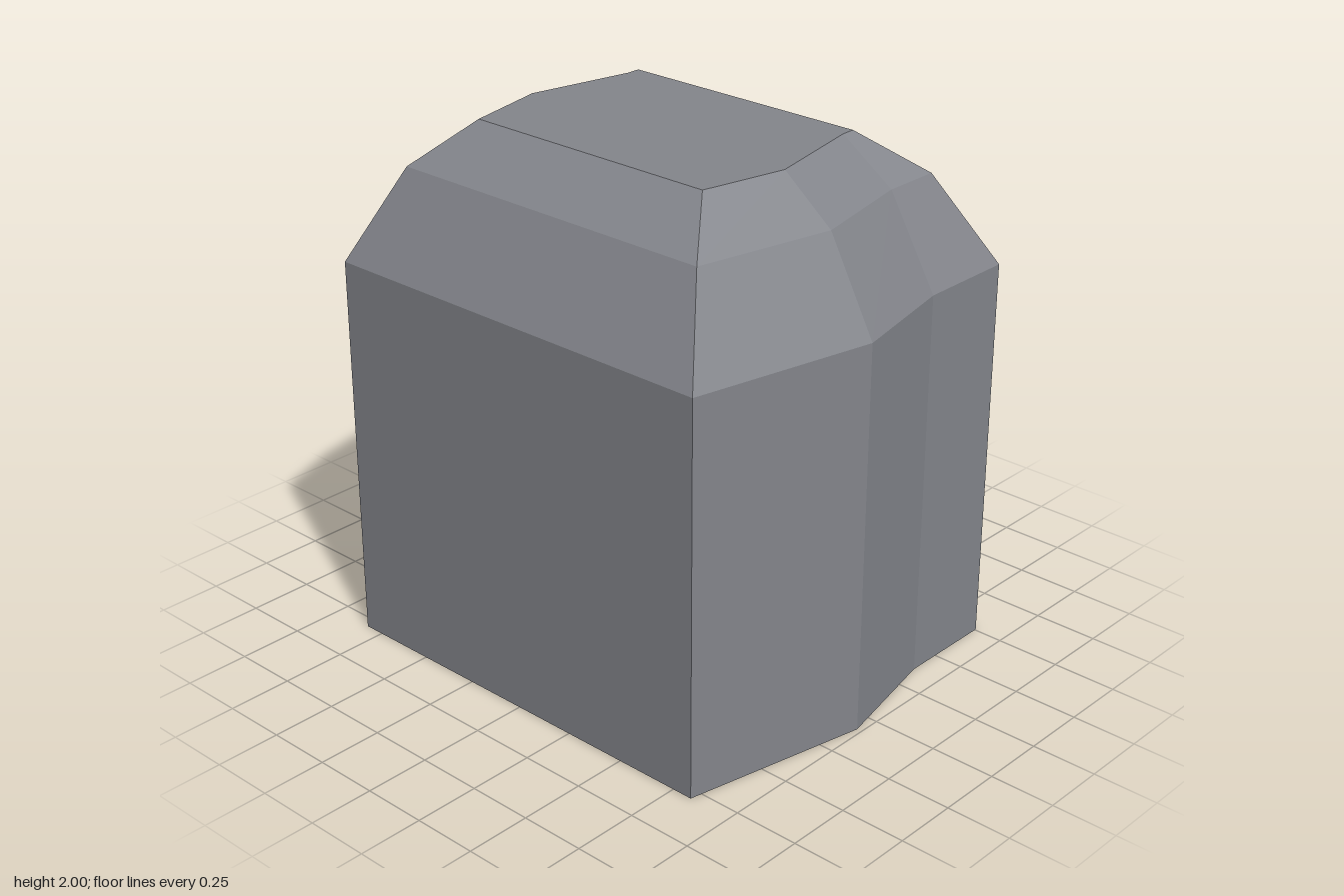
import * as THREE from 'three';

const grey = new THREE.MeshStandardMaterial({ color: 0x84868c, flatShading: true });
const orange = new THREE.MeshStandardMaterial({ color: 0xf2aa4c, flatShading: true });

// Half outlines [half width, z] from front to back, one per level
const wall = [[0.83, 0.795], [0.98, 0.085], [0.885, -0.37], [0.885, -0.755]];
const levels = [
  { y: 0, half: wall },
  { y: 1.495, half: wall },
  { y: 1.84, half: [[0.682, 0.614], [0.793, 0.085], [0.703, -0.35], [0.703, -0.575]] },
  { y: 2, half: [[0.523, 0.412], [0.592, 0.085], [0.507, -0.325], [0.507, -0.378]] },
];

function shellGeometry() {
  const rings = levels.map(({ y, half }) => [
    ...half.map(([x, z]) => [x, y, z]),
    ...[...half].reverse().map(([x, z]) => [-x, y, z]),
  ]);
  const pos = [];
  const quad = (a, b, c, d) => pos.push(...a, ...b, ...c, ...a, ...c, ...d);
  const n = rings[0].length;
  // walls and sloping roof bands
  for (let l = 0; l < rings.length - 1; l++) {
    for (let i = 0; i < n; i++) {
      const j = (i + 1) % n;
      quad(rings[l][i], rings[l][j], rings[l + 1][j], rings[l + 1][i]);
    }
  }
  // flat top and underside, as strips from side to side
  const top = rings[rings.length - 1], base = rings[0];
  for (let i = 0; i < n / 2 - 1; i++) {
    const k = n - 1 - i;
    quad(top[i], top[i + 1], top[k - 1], top[k]);
    quad(base[k], base[k - 1], base[i + 1], base[i]);
  }
  const g = new THREE.BufferGeometry();
  g.setAttribute('position', new THREE.Float32BufferAttribute(pos, 3));
  g.computeVertexNormals();
  return g;
}

export function createModel() {
  const model = new THREE.Group();
  model.name = 'cabinet';

  const body = new THREE.Mesh(shellGeometry(), grey);
  body.name = 'body';
  model.add(body);

  const box = (name, w, h, d, x, y, z) => {
    const m = new THREE.Mesh(new THREE.BoxGeometry(w, h, d), orange);
    m.position.set(x, y, z);
    m.name = name;
    model.add(m);
  };

  // door seams and hinges on the back wall
  const back = -0.755, low = 0.11, high = 1.46, mid = (low + high) / 2;
  box('centreSeam', 0.014, high - low, 0.002, 0, mid, back);
  for (const s of [-1, 1]) {
    box('sideSeam', 0.005, high - low, 0.002, s * 0.7, mid, back);
    for (const y of [low, high]) {
      box('edgeSeam', 0.7, 0.004, 0.002, s * 0.35, y, back);
      box('hinge', 0.07, 0.053, 0.04, s * 0.272, y, -0.775);
    }
  }
  return model;
}
